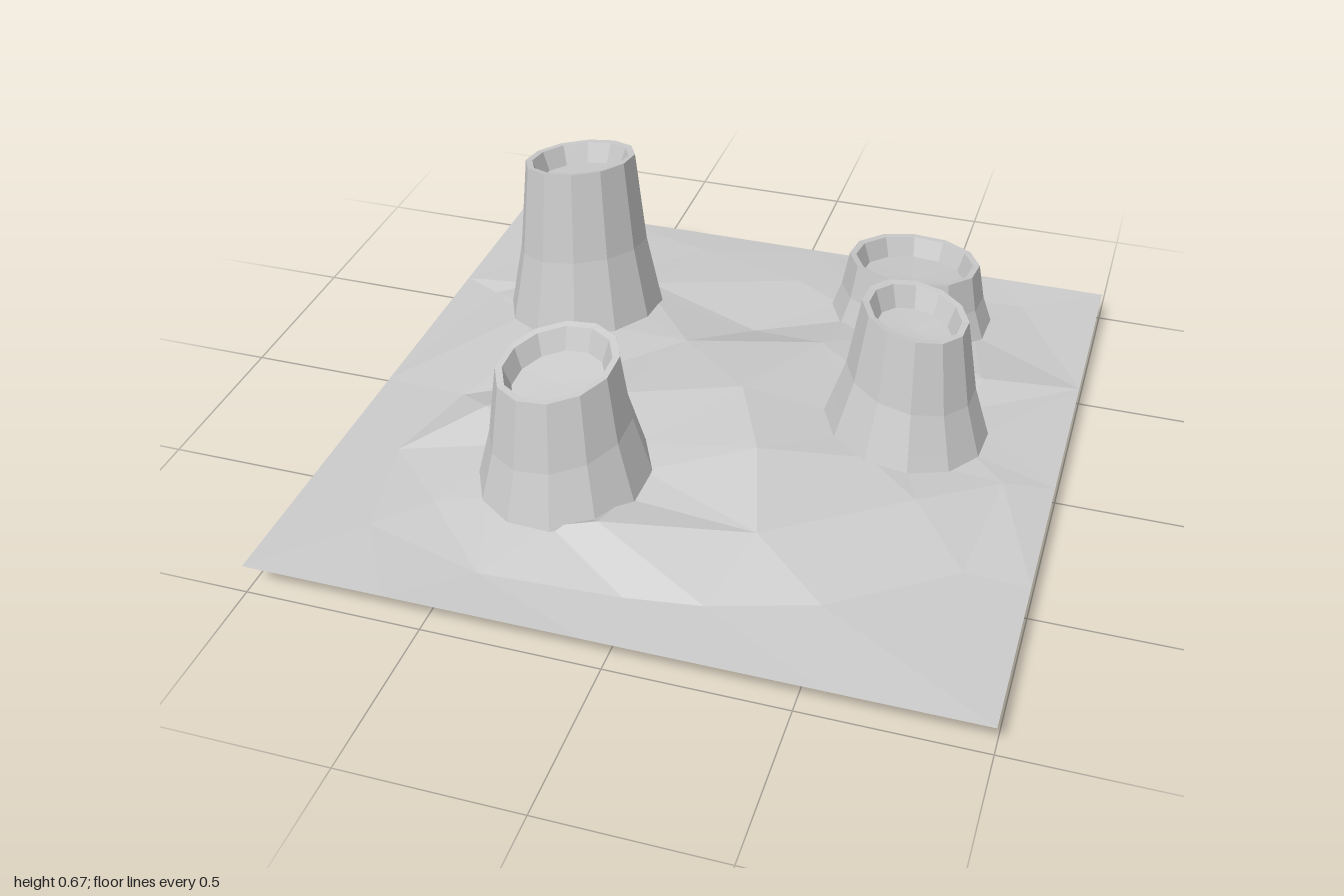
import * as THREE from 'three';

const material = new THREE.MeshStandardMaterial({ color: 0xcccccc, flatShading: true, side: THREE.DoubleSide });
const SIDES = 12;
const TURN = 0.2;

// Each vent: centre, base and rim radius, mean base and rim height, slope along x and z
const VENTS = [
  { name: 'tallVent', x: -0.565, z: -0.44, base: 0.255, rim: 0.168, y0: 0.056, y1: 0.64, sx: 0.14, sz: 0.14 },
  { name: 'frontVent', x: -0.31, z: 0.435, base: 0.255, rim: 0.17, y0: 0.105, y1: 0.515, sx: 0.14, sz: -0.14 },
  { name: 'shortVent', x: 0.435, z: -0.69, base: 0.262, rim: 0.202, y0: 0.085, y1: 0.31, sx: -0.03, sz: 0.15 },
  { name: 'sideVent', x: 0.555, z: -0.065, base: 0.252, rim: 0.149, y0: 0.1, y1: 0.528, sx: -0.19, sz: 0 },
];

// Terrain corners inside the sheet: x, z, height
const KNOLLS = [
  [-0.78, -0.75, 0.1], [-0.31, -0.87, 0.11], [-0.88, -0.45, 0.09], [-0.17, -0.25, 0.17],
  [-0.01, -0.45, 0.11], [0.23, -0.33, 0.19], [0.72, -0.34, 0.15], [-0.62, -0.14, 0.14],
  [-0.75, 0.12, 0.1], [-0.62, 0.24, 0.17], [-0.82, 0.42, 0.1], [-0.28, 0.1, 0.19],
  [0.08, 0, 0.22], [0.2, 0.27, 0.22], [0.65, 0.28, 0.15], [0.28, 0.55, 0.16],
  [0.5, 0.72, 0.11], [0.82, 0.48, 0.1], [0.21, 0.8, 0.1], [-0.13, 0.65, 0.18],
  [-0.4, 0.84, 0.09], [0, 0.83, 0.1], [-0.75, 0.75, 0.1], [0.86, 0.1, 0.12],
  [0.76, -0.86, 0.09], [0.05, -0.76, 0.12], [-0.45, 0.02, 0.15], [-0.62, 0.62, 0.11],
];

// Points on the border, all at the same height: x, z
const BORDER = [
  [-1, -1], [-0.68, -1], [0.05, -1], [0.66, -1], [1, -1], [1, -0.45], [1, 0.05], [1, 0.48],
  [1, 1], [0.58, 1], [-0.05, 1], [-0.6, 1], [-1, 1], [-1, 0.6], [-1, 0.1], [-1, -0.5],
];

// Flared chimney, open below, with a shallow cup in its mouth
function buildVent(v) {
  const h = v.y1 - v.y0;
  const flare = (t) => v.rim + (v.base - v.rim) * t;
  const profile = [
    [v.base, v.y0],
    [flare(0.68), v.y0 + h * 0.24],
    [flare(0.34), v.y0 + h * 0.5],
    [v.rim, v.y1],
    [v.rim - 0.02, v.y1 - 0.002],
    [v.rim - 0.042, v.y1 - 0.065],
    [0, v.y1 - 0.07],
  ].map(([r, y]) => new THREE.Vector2(r, y));
  const geometry = new THREE.LatheGeometry(profile, SIDES, TURN);
  const p = geometry.attributes.position;
  for (let i = 0; i < p.count; i++) {
    p.setY(i, p.getY(i) + v.sx * p.getX(i) + v.sz * p.getZ(i));
  }
  geometry.computeVertexNormals();
  const mesh = new THREE.Mesh(geometry, material);
  mesh.name = v.name;
  mesh.position.set(v.x, 0, v.z);
  return mesh;
}

// Triangle of three point numbers with its circumscribed circle
function circled(points, a, b, c) {
  const [p, q, r] = [points[a], points[b], points[c]];
  const [bx, bz, cx, cz] = [q.x - p.x, q.z - p.z, r.x - p.x, r.z - p.z];
  const d = 2 * (bx * cz - bz * cx);
  const ux = (cz * (bx * bx + bz * bz) - bz * (cx * cx + cz * cz)) / d;
  const uz = (bx * (cx * cx + cz * cz) - cx * (bx * bx + bz * bz)) / d;
  return { corners: [a, b, c], x: p.x + ux, z: p.z + uz, r2: ux * ux + uz * uz };
}

// Delaunay triangulation in the ground plane, adding one point at a time
function triangulate(source) {
  const n = source.length;
  const points = [...source, { x: -90, z: -70 }, { x: 5, z: 110 }, { x: 95, z: -75 }];
  let triangles = [circled(points, n, n + 1, n + 2)];
  for (let i = 0; i < n; i++) {
    const { x, z } = points[i];
    const hit = (t) => (x - t.x) ** 2 + (z - t.z) ** 2 < t.r2;
    const edges = new Map();
    for (const { corners: [a, b, c] } of triangles.filter(hit)) {
      for (const [s, e] of [[a, b], [b, c], [c, a]]) {
        if (!edges.delete(`${e},${s}`)) edges.set(`${s},${e}`, [s, e]);
      }
    }
    triangles = triangles.filter((t) => !hit(t));
    for (const [s, e] of edges.values()) triangles.push(circled(points, s, e, i));
  }
  return triangles.map((t) => t.corners).filter((t) => t.every((k) => k < n));
}

// Faceted sheet of ground with a round hole under each vent
function buildTerrain() {
  const points = [
    ...BORDER.map(([x, z]) => ({ x, z, y: 0.095 })),
    ...KNOLLS.map(([x, z, y]) => ({ x, z, y })),
  ];
  for (const vent of VENTS) {
    for (let i = 0; i < SIDES; i++) {
      const angle = TURN + (i / SIDES) * Math.PI * 2;
      const r = (vent.base - 0.035) * (1 + 0.01 * Math.sin(i * 5));
      const x = vent.x + r * Math.sin(angle);
      const z = vent.z + r * Math.cos(angle);
      points.push({ x, z, y: 0.21 - 0.11 * Math.hypot(x, z), vent });
    }
  }
  const inHole = ([a, b, c]) =>
    points[a].vent && points[a].vent === points[b].vent && points[a].vent === points[c].vent;
  const geometry = new THREE.BufferGeometry();
  geometry.setAttribute('position', new THREE.Float32BufferAttribute(points.flatMap((p) => [p.x, p.y, p.z]), 3));
  geometry.setIndex(triangulate(points).filter((t) => !inHole(t)).flat());
  geometry.computeVertexNormals();
  const mesh = new THREE.Mesh(geometry, material);
  mesh.name = 'terrain';
  return mesh;
}

export function createModel() {
  const group = new THREE.Group();
  group.name = 'ventField';
  group.add(buildTerrain(), ...VENTS.map(buildVent));
  return group;
}
